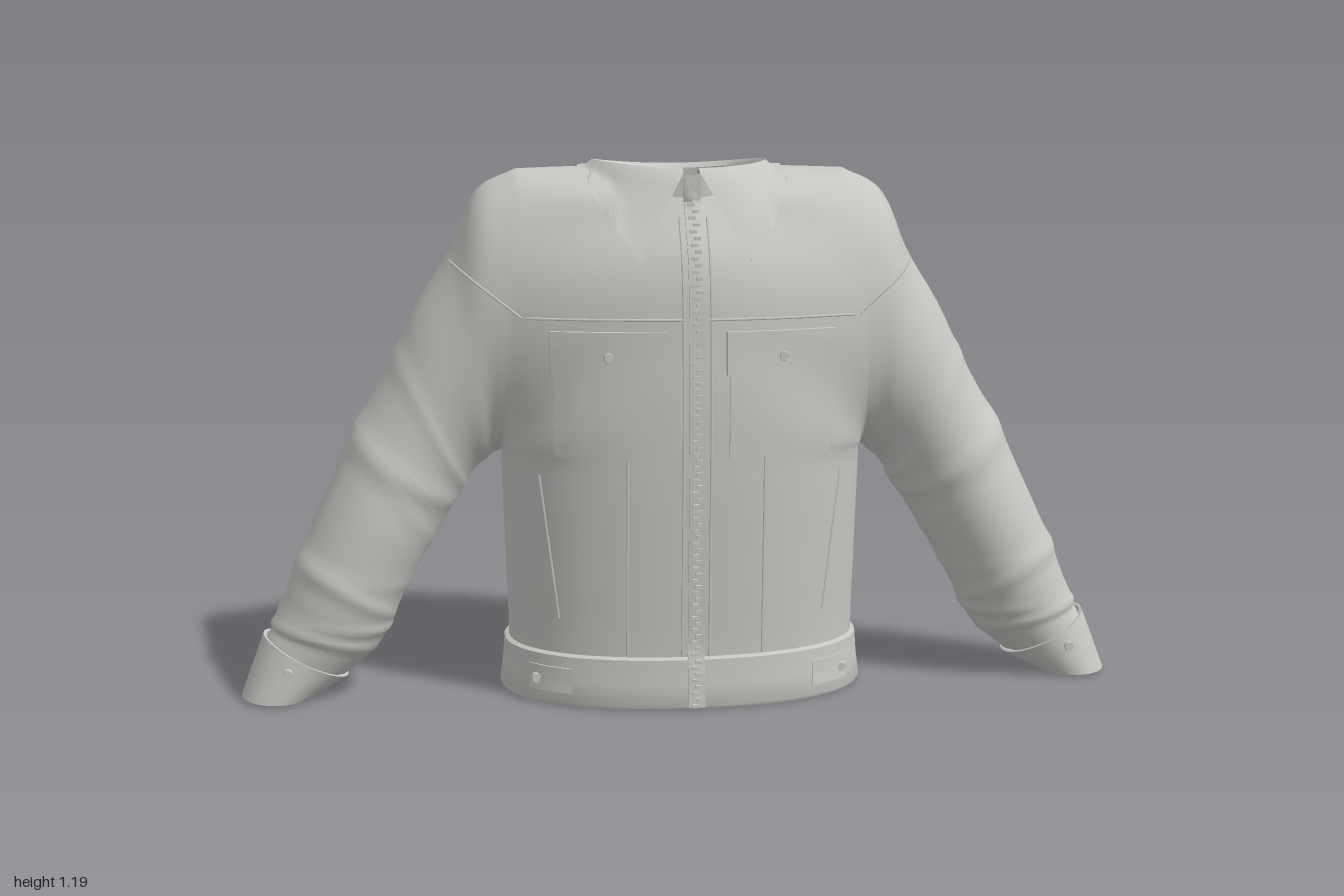
import * as THREE from 'three';
import { mergeGeometries, mergeVertices, toCreasedNormals } from 'three/addons/utils/BufferGeometryUtils.js';

const { sin, cos, PI, abs, sign, max, min } = Math;
const lerp = THREE.MathUtils.lerp;

// Smooth scalar curve through (key, value) samples
const curve = (keys, values) => {
  const c = new THREE.CubicInterpolant(keys, values, 1);
  return (k) => c.evaluate(k)[0];
};
const halfWidth = curve([0, 0.12, 0.3, 0.55], [0.4, 0.397, 0.402, 0.41]);
const frontZ = curve([0, 0.12, 0.3, 0.55, 0.8, 1.0, 1.12], [0.262, 0.262, 0.272, 0.285, 0.285, 0.262, 0.19]);
const backZ = curve([0, 0.12, 0.3, 0.55, 0.8, 1.0, 1.13], [0.27, 0.268, 0.268, 0.272, 0.275, 0.268, 0.23]);

// Grid of quads from a function (u, v) -> [x, y, z]
function grid(nu, nv, fn, flip = false) {
  const pos = [], idx = [];
  for (let j = 0; j <= nv; j++) for (let i = 0; i <= nu; i++) pos.push(...fn(i / nu, j / nv, i, j));
  for (let j = 0; j < nv; j++) for (let i = 0; i < nu; i++) {
    const a = j * (nu + 1) + i, b = a + 1, d = a + nu + 1, c = d + 1;
    if (flip) idx.push(a, d, b, b, d, c);
    else idx.push(a, b, d, b, c, d);
  }
  const g = new THREE.BufferGeometry();
  g.setAttribute('position', new THREE.Float32BufferAttribute(pos, 3));
  g.setIndex(idx);
  return g;
}

function mirrored(g) {
  const m = g.clone().scale(-1, 1, 1);
  m.setIndex(Array.from(g.index.array).reverse());
  return m;
}

function weld(parts) {
  const g = mergeVertices(mergeGeometries(parts), 1e-4);
  g.computeVertexNormals();
  return g;
}

// Lower body cross-section, angle 0 at the front centre
function torso(a, y, off = 0) {
  const s = sin(a), c = cos(a), p = (n) => sign(n) * abs(n) ** 0.9;
  return [p(s) * (halfWidth(y) + off), y, p(c) * ((c > 0 ? frontZ(y) : backZ(y)) + off)];
}

// Sleeve sections: outer x, outer y, centre z, inner x, inner y, half depth
const sections = [
  [0.37, 1.18, 0, 0.41, 0.55, 0.19], [0.455, 1.135, -0.01, 0.428, 0.54, 0.185],
  [0.52, 1.0, -0.015, 0.445, 0.525, 0.178], [0.6, 0.87, -0.02, 0.465, 0.51, 0.172],
  [0.66, 0.745, -0.02, 0.49, 0.475, 0.168], [0.74, 0.6, -0.01, 0.535, 0.4, 0.163],
  [0.8, 0.47, 0.005, 0.58, 0.325, 0.158], [0.85, 0.36, 0.015, 0.625, 0.245, 0.15],
  [0.895, 0.25, 0.025, 0.66, 0.175, 0.138], [0.925, 0.17, 0.03, 0.69, 0.12, 0.12],
  [0.94, 0.14, 0.04, 0.765, 0.055, 0.1],
];
const outer = new THREE.CatmullRomCurve3(sections.map((s) => new THREE.Vector3(s[0], s[1], s[2])));
const inner = new THREE.CatmullRomCurve3(sections.map((s) => new THREE.Vector3(s[3], s[4], s[5])));
// Cloth folds: position along the sleeve, height, slant
const folds = [[0.4, 0.05, 0.02], [0.47, 0.05, -0.03], [0.55, 0.03, 0.04], [0.7, 0.035, -0.03],
  [0.77, 0.05, 0.03], [0.84, 0.06, -0.02], [0.91, 0.07, 0.02]];

function ringPoint(o, n, phi, f = 1) {
  const c = -cos(phi) * f;
  return [(o.x + n.x) / 2 + c * (o.x - n.x) / 2, (o.y + n.y) / 2 + c * (o.y - n.y) / 2, o.z + n.z * f * sin(phi)];
}
function sleeve(u, t) {
  const phi = u * 2 * PI;
  let f = 1;
  for (const [t0, h, slant] of folds) {
    f += h * (0.7 + 0.3 * sin(phi + t0 * 40)) * Math.exp(-(((t - t0 - slant * cos(phi + 0.8)) / 0.018) ** 2));
  }
  return ringPoint(outer.getPoint(t), inner.getPoint(t), phi, f);
}

// Chest or back panel: centre line and neckline (u = 0) out to the armhole (u = 1)
function chest(u, v, s) {
  const top = s > 0 ? 1.12 : 1.13;
  let x0 = 0, y0 = lerp(0.55, top, min(v / 0.7, 1)), z0 = s * (s > 0 ? frontZ(y0) : backZ(y0));
  if (v > 0.7) {
    const a = ((v - 0.7) / 0.3) * PI / 2;
    x0 = 0.19 * sin(a);
    y0 = lerp(top, 1.185, sin(a) ** 2);
    z0 = -0.03 + s * (s > 0 ? 0.22 : 0.2) * cos(a);
  }
  const [x1, y1, z1] = ringPoint(outer.getPoint(0), inner.getPoint(0), s * v * PI);
  const k = THREE.MathUtils.smoothstep(v, 0, 0.4), a = u * PI / 2;
  return [lerp(x0, x1, lerp(sin(a) ** 0.9, u, k)), lerp(y0, y1, u),
    lerp(z1, z0, lerp(max(cos(a), 0) ** 0.9, 1 - u * u, k))];
}

export function createModel() {
  const model = new THREE.Group();
  const cloth = new THREE.MeshStandardMaterial({ color: 0xc6c6c2, side: THREE.DoubleSide });
  cloth.name = 'lightGreyCloth';
  const add = (name, g) => {
    const m = new THREE.Mesh(g, cloth);
    m.name = name;
    model.add(m);
    return m;
  };

  // Continuous shell: lower body, chest, back and sleeves
  const half = [
    grid(16, 16, (u, v) => torso(u * PI / 2, lerp(0.1, 0.55, v))),
    grid(16, 16, (u, v) => torso(PI - u * PI / 2, lerp(0.1, 0.55, v)), true),
    grid(16, 24, (u, v) => chest(u, v, 1)),
    grid(16, 24, (u, v) => chest(u, v, -1), true),
    grid(48, 72, sleeve, true),
  ];
  const shell = add('bodyAndSleeves', weld([...half, ...half.map(mirrored)]));

  // Hem band, with a lip turned inside
  const hemRows = [[0.12, 0], [0.115, 0.01], [0.06, 0.013], [0.012, 0.018], [0.005, 0.014], [0.005, 0.002], [0.1, -0.008]];
  const hem = add('hemBand', toCreasedNormals(grid(72, 6, (u, v, i, j) => torso(u * 2 * PI, ...hemRows[j]), true), 0.7));

  // Cuffs
  const cuffTop = [new THREE.Vector3(0.945, 0.15, 0.04), new THREE.Vector3(0.765, 0.05, 0.102)];
  const cuffEnd = [new THREE.Vector3(0.997, 0.012, 0.048), new THREE.Vector3(0.84, 0.008, 0.097)];
  const cuffRows = [[cuffTop, 0.96], [cuffTop, 1.03], [cuffEnd, 1.03], [cuffEnd, 0.92], [cuffTop, 0.9]];
  const cuffShape = grid(40, 4, (u, v, i, j) => ringPoint(...cuffRows[j][0], u * 2 * PI, cuffRows[j][1]), true);
  const cuffs = [add('leftCuff', toCreasedNormals(cuffShape, 0.7)), add('rightCuff', toCreasedNormals(mirrored(cuffShape), 0.7))];

  // Depth of the cloth at (x, y), seen from the front (s = 1) or back (s = -1)
  const caster = new THREE.Raycaster();
  const targets = [shell, hem, ...cuffs];
  const skin = (x, y, s = 1, miss = 0.2) => {
    caster.set(new THREE.Vector3(x + 1e-4, y, s), new THREE.Vector3(0, 0, -s));
    const hit = caster.intersectObjects(targets)[0];
    return hit && hit.point.z * s > 0 ? hit.point.z : s * miss;
  };

  // Panel that follows the cloth, from four corners (x, y), raised with closed edges
  const panel = (name, [bl, br, tr, tl], lift, nu = 8, nv = 8) => {
    const g = grid(nu + 2, nv + 2, (_, __, i, j) => {
      const u = min(max(i - 1, 0), nu) / nu, v = min(max(j - 1, 0), nv) / nv;
      const rim = i === 0 || j === 0 || i === nu + 2 || j === nv + 2;
      const x = lerp(lerp(bl[0], br[0], u), lerp(tl[0], tr[0], u), v);
      const y = lerp(lerp(bl[1], br[1], u), lerp(tl[1], tr[1], u), v);
      return [x, y, skin(x, y) + (rim ? -0.004 : lift)];
    });
    add(name, toCreasedNormals(g, 0.6));
  };
  const box = (s, x0, x1, y0, y1) => [[s * x0, y0], [s * x1, y0], [s * x1, y1], [s * x0, y1]];
  const button = (name, x, y, lift) =>
    add(name, new THREE.CylinderGeometry(0.01, 0.012, 0.012, 16).rotateX(PI / 2).translate(x, y, skin(x, y) + lift));
  // Thin raised stitch line between two points
  const seam = (name, [x0, y0], [x1, y1], s = 1, sag = 0) => {
    const pts = [];
    for (let i = 0; i <= 12; i++) {
      const t = i / 12, x = lerp(x0, x1, t), y = lerp(y0, y1, t) + sag * sin(t * PI);
      pts.push(new THREE.Vector3(x, y, skin(x, y, s)));
    }
    add(name, new THREE.TubeGeometry(new THREE.CatmullRomCurve3(pts), 24, 0.003, 5));
  };

  for (const s of [1, -1]) {
    const side = s > 0 ? 'left' : 'right';
    // Chest pocket, flap, hem tab and cuff button
    panel(side + 'ChestPocket', box(s, 0.07, 0.305, 0.565, 0.83), 0.008);
    panel(side + 'PocketFlap', box(s, 0.063, 0.312, 0.745, 0.84), 0.017);
    button(side + 'PocketButton', s * 0.19, 0.785, 0.019);
    panel(side + 'HemTab', box(s, 0.27, 0.36, 0.035, 0.09), 0.006);
    button(side + 'HemButton', s * 0.345, 0.06, 0.007);
    button(side + 'CuffButton', s * 0.89, 0.08, 0.002);
    // Front and back stitching
    seam(side + 'FrontSeam', [s * 0.15, 0.12], [s * 0.15, 0.565]);
    seam(side + 'YokeSeam', [s * 0.025, 0.865], [s * 0.36, 0.865]);
    seam(side + 'ShoulderSeam', [s * 0.37, 0.865], [s * 0.52, 0.98]);
    seam(side + 'SidePocketEdge', [s * 0.295, 0.2], [s * 0.335, 0.52]);
    seam(side + 'BackSeam', [s * 0.2, 0.12], [s * 0.2, 0.88], -1);
    seam(side + 'BackYokeSeam', [0, 0.9], [s * 0.37, 0.87], -1, 0.01);
    seam(side + 'BackShoulderSeam', [s * 0.37, 0.87], [s * 0.52, 0.98], -1);
    seam(side + 'PlacketSeam', [s * 0.03, 0.12], [s * 0.03, 1.08]);
  }

  // Zip: tape and alternating teeth
  panel('zipTape', box(1, -0.018, 0.018, 0.01, 1.17), 0.006, 2, 40);
  const teeth = [];
  for (let i = 0; i < 82; i++) {
    const y = 0.015 + i * 0.014;
    teeth.push(new THREE.BoxGeometry(0.014, 0.007, 0.01).translate(i % 2 ? 0.004 : -0.004, y, skin(0, y) + 0.008));
  }
  add('zipTeeth', mergeGeometries(teeth));

  // Collar: inner stand, fold, and a pointed fall lying over the shoulders
  const edge = new THREE.LinearInterpolant([5, 42, 70, 90, 112, 140, 180], [
    0.12, 0.99, 0.27, 0.175, 1.065, 0.225, 0.222, 1.15, 0.08, 0.232, 1.192, -0.03,
    0.232, 1.15, -0.13, 0.2, 1.08, -0.235, 0, 1.06, -0.285], 3);
  const collarHalf = grid(40, 10, (u, v, i, j) => {
    const deg = lerp(5, 180, u), a = deg * PI / 180, rise = 0.015 * sin(a) ** 2;
    const rim = (rx, rz, y) => [rx * sin(a), y, -0.03 + rz * cos(a)];
    if (j === 0) return rim(0.187, 0.19, 1.09);
    if (j === 1) return rim(0.187, 0.19, 1.172 + rise);
    if (j === 2) return rim(0.197, 0.205, 1.184 + rise);
    const [bx, by, bz] = edge.evaluate(deg);
    const [tx, ty, tz] = rim(0.207, 0.22, 1.174 + rise);
    const w = min((j - 3) / 6, 1);
    const x = lerp(tx, bx, w), y = lerp(ty, by, w);
    let z = lerp(tz, bz, w);
    if (z > 0.05) z = max(z, skin(x, y, 1, -9) + 0.014);
    if (z < -0.1) z = min(z, skin(x, y, -1, -9) - 0.014);
    return j === 10 ? [x * 0.97, y, z * 0.95] : [x, y, z];
  });
  add('leftCollar', toCreasedNormals(collarHalf, 0.8));
  add('rightCollar', toCreasedNormals(mirrored(collarHalf), 0.8));

  return model;
}
